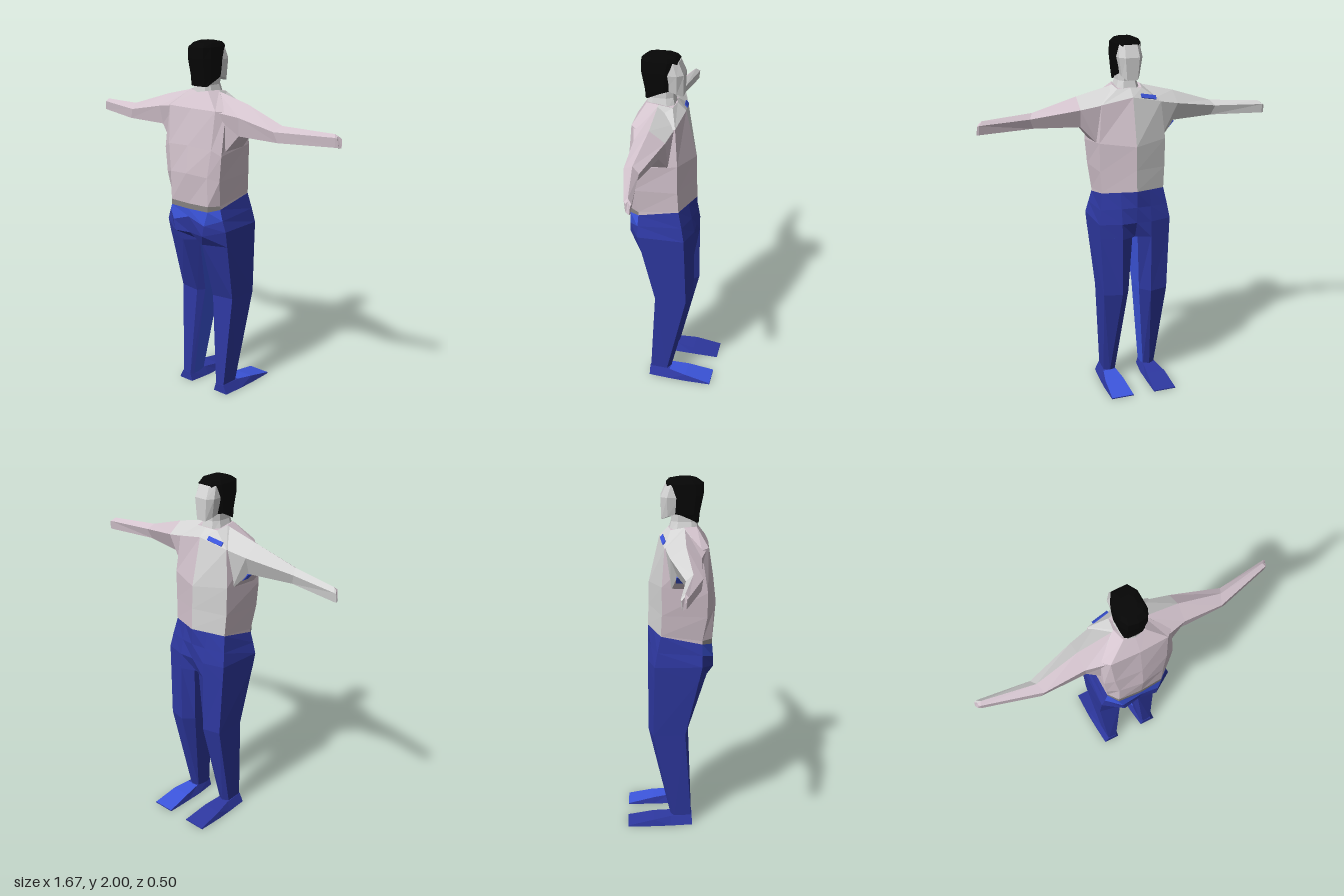
import * as THREE from 'three';

const mat = (name, color) => {
  const m = new THREE.MeshStandardMaterial({ color, flatShading: true });
  m.name = name;
  return m;
};

// Skin a list of equal-length closed rings, cap both ends, one material per face.
function loft(name, rings, mats, pick = () => 0) {
  const faces = mats.map(() => []);
  const n = rings[0].length;
  const tri = (k, a, b, c) => faces[k].push([a, b, c]);
  for (let i = 0; i < rings.length - 1; i++) {
    for (let j = 0; j < n; j++) {
      const k = pick(i, j), j2 = (j + 1) % n;
      const a = rings[i][j], b = rings[i][j2], c = rings[i + 1][j2], d = rings[i + 1][j];
      tri(k, a, b, c);
      tri(k, a, c, d);
    }
  }
  const first = rings[0], last = rings[rings.length - 1];
  for (let j = 1; j < n - 1; j++) {
    tri(0, first[0], first[j + 1], first[j]);
    tri(0, last[0], last[j], last[j + 1]);
  }
  // Signed volume decides whether the corners must be reversed to face outward.
  const V = (p) => new THREE.Vector3(...p);
  let volume = 0;
  faces.flat().forEach(([a, b, c]) => { volume += V(a).dot(V(b).cross(V(c))); });
  const geo = new THREE.BufferGeometry();
  const pos = [];
  faces.forEach((list, k) => {
    const start = pos.length / 3;
    list.forEach(([a, b, c]) => pos.push(...a, ...(volume < 0 ? [...c, ...b] : [...b, ...c])));
    if (list.length) geo.addGroup(start, list.length * 3, k);
  });
  geo.setAttribute('position', new THREE.Float32BufferAttribute(pos, 3));
  geo.computeVertexNormals();
  const mesh = new THREE.Mesh(geo, mats);
  mesh.name = name;
  return mesh;
}

// Complete a half outline (back centre to front centre) with its mirror image.
const whole = (half) => [...half, ...half.slice(1, -1).reverse().map(([x, y, z]) => [-x, y, z])];

// Ten-sided horizontal ring with clipped corners.
const oval = (y, x, zBack, zFront, tilt = 0) => {
  const d = (zBack - zFront) * 0.25;
  return whole([
    [0, y, zBack], [x * 0.7, y, zBack - d * 0.2], [x, y, zBack - d],
    [x, y - tilt / 2, zFront + d], [x * 0.6, y - tilt, zFront], [0, y - tilt, zFront],
  ]);
};

export function createModel() {
  const group = new THREE.Group();
  const shirt = mat('shirt', 0xd3c3cd);
  const pale = mat('pale', 0xd4d4d4);
  const band = mat('waistband', 0x858180);
  const blue = mat('trousers', 0x2e38a0);
  const bright = mat('brightBlue', 0x3c55dc);
  const black = mat('hair', 0x060606);

  // Torso: ridge down the back and the chest, sides nearly flat
  const waist = [[0, 1.11, .235], [.13, 1.11, .226], [.172, 1.12, .17], [.18, 1.17, -.055], [0, 1.18, -.125]];
  const bandTop = waist.map(([x, y, z], i) => [x, y + (i < 2 ? .03 : i === 2 ? .02 : .004), z]);
  const torso = [
    waist, bandTop,
    [[0, 1.31, .252], [.13, 1.30, .23], [.187, 1.28, .195], [.187, 1.29, -.05], [0, 1.3, -.12]],
    [[0, 1.46, .235], [.15, 1.45, .22], [.2, 1.42, .195], [.19, 1.45, -.05], [0, 1.43, -.118]],
    [[0, 1.655, .205], [.16, 1.655, .198], [.2, 1.65, .16], [.17, 1.655, -.035], [0, 1.69, -.058]],
    [[0, 1.735, .15], [.06, 1.745, .14], [.08, 1.745, .07], [.07, 1.73, 0], [0, 1.735, -.012]],
  ].map(whole);
  group.add(loft('torso', torso, [shirt, pale, band], (i, j) => {
    if (i === 0 && (j < 2 || j > 5)) return 2;
    return j === 4 || (i === 4 && j > 1 && j < 6) ? 1 : 0;
  }));

  // Hips, with a brighter strip under the waistband at the back
  const hips = [
    [...waist.slice(0, 4), [.085, 1.175, -.092], waist[4]],
    [[0, 1.065, .233], [.11, 1.03, .234], [.19, 1.06, .172], [.195, 1.08, -.075], [.085, 1.085, -.11], [0, 1.09, -.126]],
    [[0, .97, .22], [.1, .97, .237], [.21, 1, .17], [.207, 1, -.09], [.085, 1, -.126], [0, 1, -.122]],
    [[0, .91, .14], [.07, .91, .205], [.206, .91, .152], [.203, .91, -.092], [.085, .91, -.126], [0, .91, -.09]],
  ].map(whole);
  group.add(loft('hips', hips, [blue, bright], (i, j) => (i === 0 && (j < 2 || j > 7) ? 1 : 0)));

  for (const s of [1, -1]) {
    const side = s > 0 ? 'left' : 'right';
    const flip = (rings) => rings.map((r) => r.map(([x, y, z]) => [s * x, y, z]));

    // Arm, running from the neck over a deep shoulder to a thin hand
    const arm = [
      [[.07, 1.742, .075], [.12, 1.655, .2], [.18, 1.42, .16], [.18, 1.43, 0], [.1, 1.665, -.042]],
      [[.28, 1.69, .075], [.28, 1.63, .155], [.27, 1.53, .14], [.27, 1.53, .03], [.28, 1.63, -.008]],
      [[.52, 1.612, .1], [.5, 1.585, .15], [.52, 1.53, .14], [.52, 1.53, .08], [.54, 1.585, .062]],
      [[.8, 1.6, .048], [.81, 1.585, .065], [.81, 1.535, .06], [.82, 1.53, .032], [.82, 1.58, .026]],
      [[.815, 1.59, .046], [.82, 1.58, .055], [.825, 1.535, .052], [.833, 1.53, .035], [.83, 1.575, .03]],
    ];
    group.add(loft(side + 'Arm', flip(arm), [shirt, pale], (i, j) => (
      (s < 0 && j > 2) || (i === 0 && j === 4) ? 1 : 0)));

    // Leg, the right one with a brighter inner face
    const leg = [
      [[.012, .92, .13], [.07, .92, .207], [.206, .92, .153], [.203, .92, -.092], [.085, .92, -.126], [.015, .92, -.09]],
      [[.032, .58, .06], [.06, .58, .1], [.185, .58, .08], [.188, .58, -.1], [.085, .58, -.126], [.032, .58, -.07]],
      [[.088, .04, .1], [.1, .04, .12], [.153, .04, .118], [.158, .04, .02], [.125, .04, 0], [.09, .04, .015]],
    ];
    group.add(loft(side + 'Leg', flip(leg), [blue, bright], (i, j) => (s < 0 && j === 5 ? 1 : 0)));

    // Flat wedge foot, toes towards -z
    const foot = [
      [.122, .085, .18, .1, .155, .05], [.0, .068, .19, .088, .165, .05],
      [-.1, .065, .195, .075, .185, .038], [-.25, .062, .195, .064, .193, .006],
    ].map(([z, x0, x1, t0, t1, h]) => [[x0, 0, z], [x1, 0, z], [t1, h, z], [t0, h, z]]);
    group.add(loft(side + 'Foot', flip(foot), [blue, bright, pale], (i, j) => {
      if (j === 0) return s < 0 ? 2 : 0;
      return s > 0 && j === 2 && i > 0 ? 1 : 0;
    }));
  }

  // Neck, face and hair
  group.add(loft('neck', [oval(1.71, .07, .155, -.01), oval(1.77, .052, .145, .005), oval(1.86, .052, .15, 0)], [pale]));
  group.add(loft('face', [
    oval(1.815, .05, .08, -.048, .035), oval(1.9, .066, .08, -.052), oval(1.965, .058, .08, -.024),
  ], [pale]));
  group.add(loft('hair', [
    oval(1.765, .056, .153, .1, -.03), oval(1.81, .068, .158, .012), oval(1.91, .075, .178, -.004),
    oval(1.97, .072, .178, -.022), oval(1.99, .06, .15, -.005), oval(2, .035, .115, .04),
  ], [black]));

  // Small blue patches: below the collar and under the right arm
  const collar = [[-.05, 1.683, -.052], [-.14, 1.666, -.04]].map(([x, y, z]) => [
    [x, y, z], [x, y + .018, z + .014], [x, y + .023, z + .01], [x, y + .004, z - .005],
  ]);
  group.add(loft('collarPatch', collar, [bright]));
  const armpit = new THREE.Mesh(new THREE.BoxGeometry(.055, .008, .045), bright);
  armpit.name = 'armpitPatch';
  armpit.position.set(-.25, 1.508, .047);
  armpit.rotation.z = -.84;
  group.add(armpit);
  return group;
}
